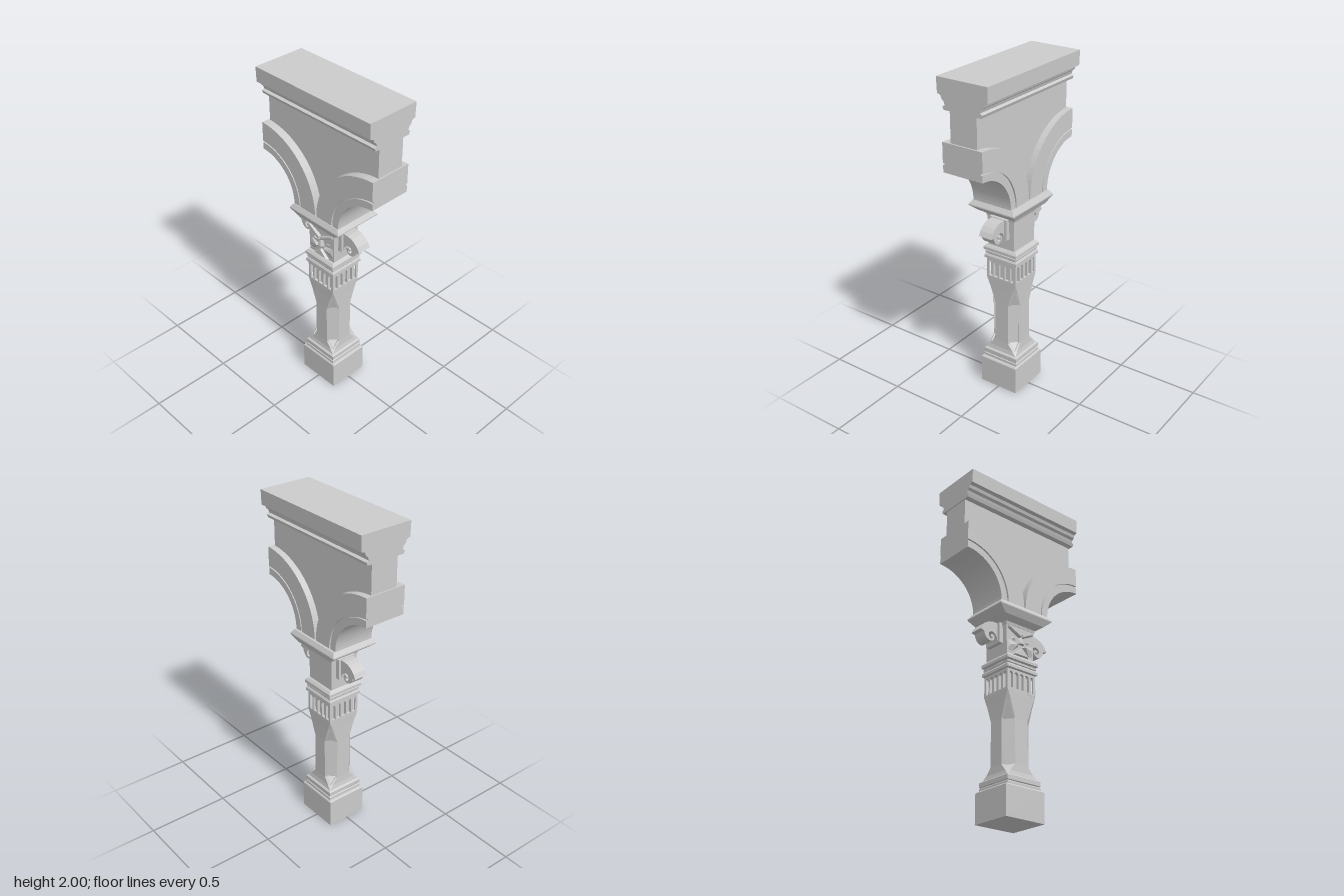
import * as THREE from 'three';
import { ConvexGeometry } from 'three/addons/geometries/ConvexGeometry.js';

const material = new THREE.MeshStandardMaterial({ color: 0xcccccc, flatShading: true, side: THREE.DoubleSide });

export function createModel() {
  const model = new THREE.Group();

  const add = (name, geometry, parent = model) => {
    const mesh = new THREE.Mesh(geometry, material);
    mesh.name = name;
    parent.add(mesh);
    return mesh;
  };

  // Skin over horizontal rings of [x, y, z] points, closed at both ends
  const loft = (rings) => {
    const pos = [];
    const tri = (...p) => p.forEach((v) => pos.push(...v));
    const n = rings[0].length;
    for (let j = 0; j < n; j++) {
      const k = (j + 1) % n;
      for (let i = 0; i < rings.length - 1; i++) {
        const lo = rings[i], hi = rings[i + 1];
        tri(lo[j], hi[j], lo[k]);
        tri(lo[k], hi[j], hi[k]);
      }
      const bottom = rings[0], top = rings[rings.length - 1];
      tri([0, bottom[0][1], 0], bottom[j], bottom[k]);
      tri([0, top[0][1], 0], top[k], top[j]);
    }
    const g = new THREE.BufferGeometry();
    g.setAttribute('position', new THREE.Float32BufferAttribute(pos, 3));
    g.computeVertexNormals();
    return g;
  };

  // Rectangular moulding from rows of [y, half width, half depth]
  const moulding = (name, rows) => add(name, loft(rows.map(([y, hx, hz = hx]) =>
    [[hx, y, -hz], [hx, y, hz], [-hx, y, hz], [-hx, y, -hz]])));

  const extrude = (shape, depth, curveSegments = 8) => {
    const g = new THREE.ExtrudeGeometry(shape, { depth, bevelEnabled: false, curveSegments });
    return g.translate(0, 0, -depth / 2);
  };

  // Base and plinth
  moulding('base', [[0, 0.135, 0.127], [0.172, 0.135, 0.127], [0.18, 0.128, 0.12]]);
  moulding('plinth', [[0.18, 0.118], [0.195, 0.118], [0.2, 0.113], [0.205, 0.117], [0.23, 0.117], [0.237, 0.108]]);

  // Shaft: square ends, chamfered middle, recessed pointed panel on each corner
  // rows: y, half width, chamfer start, panel half width, panel depth
  const shaftRows = [
    [0.235, 0.106, 0.106, 0, 0], [0.262, 0.1, 0.08, 0, 0], [0.262, 0.1, 0.08, 0, 0.006],
    [0.305, 0.098, 0.045, 0.027, 0.012], [0.565, 0.098, 0.045, 0.027, 0.012],
    [0.665, 0.1, 0.078, 0, 0.006], [0.665, 0.1, 0.078, 0, 0], [0.725, 0.102, 0.102, 0, 0],
  ];
  add('shaft', loft(shaftRows.map(([y, a, c, w, d]) => {
    const m = (a + c) / 2, s = w * Math.SQRT1_2, r = d * Math.SQRT1_2;
    let corner = [[a, c], [m + s, m - s], [m + s - r, m - s - r], [m - s - r, m + s - r], [m - s, m + s], [c, a]];
    const ring = [];
    for (let q = 0; q < 4; q++) {
      corner.forEach(([x, z]) => ring.push([x, y, z]));
      corner = corner.map(([x, z]) => [-z, x]);
    }
    return ring;
  })));

  // Arcaded band: a core with a pierced panel of round arches on each side
  moulding('arcadeCore', [[0.72, 0.086], [0.86, 0.086]]);
  const panel = new THREE.Shape([[-0.102, 0.722], [0.102, 0.722], [0.102, 0.855], [-0.102, 0.855]]
    .map((p) => new THREE.Vector2(...p)));
  for (let i = -2; i <= 2; i++) {
    const x = i * 0.039, r = 0.0145, arch = new THREE.Path();
    arch.moveTo(x - r, 0.737).lineTo(x + r, 0.737).lineTo(x + r, 0.82);
    arch.absarc(x, 0.82, r, 0, Math.PI, false);
    panel.holes.push(arch);
  }
  for (let i = 0; i < 4; i++) {
    add('arcadePanel', extrude(panel, 0.016, 4).translate(0, 0, 0.094)).rotation.y = i * Math.PI / 2;
  }

  // Necking rings
  moulding('lowerRing', [[0.848, 0.102], [0.854, 0.112], [0.87, 0.112], [0.88, 0.106]]);
  moulding('middleRing', [[0.88, 0.102], [0.886, 0.107], [0.897, 0.107], [0.902, 0.101]]);
  moulding('upperRing', [[0.9, 0.104], [0.907, 0.115], [0.924, 0.115], [0.933, 0.108], [0.941, 0.1]]);

  // Head block and flared abacus
  moulding('headBlock', [[0.935, 0.098, 0.09], [1.145, 0.103, 0.092]]);
  moulding('abacus', [[1.125, 0.106, 0.094], [1.14, 0.108, 0.098], [1.165, 0.145, 0.132],
    [1.205, 0.195, 0.153], [1.212, 0.195, 0.153], [1.237, 0.177, 0.138]]);

  // Carved face on the front
  const face = new THREE.Group();
  face.name = 'face';
  model.add(face);
  const carve = (name, points, side = 1) =>
    add(name, new ConvexGeometry(points.map(([x, y, z]) => new THREE.Vector3(x * side, y, z))), face);
  carve('nose', [[-0.012, 1.075, 0.088], [0.012, 1.075, 0.088], [-0.027, 1.018, 0.088], [0.027, 1.018, 0.088],
    [-0.012, 1.02, 0.112], [0.012, 1.02, 0.112], [0, 1.07, 0.101]]);
  carve('chin', [[-0.06, 0.945, 0.088], [0.06, 0.945, 0.088], [-0.045, 0.95, 0.106], [0.045, 0.95, 0.106],
    [0, 0.99, 0.104], [0, 0.996, 0.088]]);
  for (const side of [1, -1]) {
    carve('brow', [[0.004, 1.055, 0.088], [0.004, 1.085, 0.088], [0.006, 1.065, 0.11], [0.006, 1.08, 0.11],
      [0.096, 1.1, 0.088], [0.098, 1.128, 0.088], [0.088, 1.108, 0.104], [0.09, 1.122, 0.104]], side);
    carve('eye', [[0.022, 1.036, 0.088], [0.068, 1.062, 0.088], [0.075, 1.042, 0.088], [0.05, 1.028, 0.088],
      [0.05, 1.045, 0.098]], side);
    carve('cheek', [[0.028, 1.02, 0.088], [0.095, 1.035, 0.088], [0.096, 0.965, 0.088], [0.07, 0.955, 0.088],
      [0.012, 1.005, 0.088], [0.03, 1.008, 0.107], [0.078, 1.0, 0.1]], side);
  }

  // Curled scrolls on both sides of the head
  const scroll = new THREE.Shape();
  scroll.moveTo(0.09, 1.03).lineTo(0.09, 1.115).lineTo(0.125, 1.135);
  scroll.quadraticCurveTo(0.215, 1.145, 0.25, 1.065);
  scroll.lineTo(0.225, 1.06);
  scroll.quadraticCurveTo(0.215, 1.01, 0.175, 1.01);
  scroll.quadraticCurveTo(0.145, 1.02, 0.148, 1.045);
  scroll.quadraticCurveTo(0.16, 1.065, 0.177, 1.05);
  scroll.lineTo(0.175, 1.036).lineTo(0.164, 1.042).lineTo(0.163, 1.03).lineTo(0.178, 1.024);
  scroll.quadraticCurveTo(0.198, 1.04, 0.187, 1.063);
  scroll.quadraticCurveTo(0.155, 1.087, 0.132, 1.045);
  scroll.lineTo(0.13, 1.025);
  for (const side of [0, 1]) {
    const group = new THREE.Group();
    group.name = side ? 'rightScroll' : 'leftScroll';
    group.rotation.y = side * Math.PI;
    add('curl', extrude(scroll, 0.084, 5), group);
    add('backplate', new THREE.BoxGeometry(0.03, 0.125, 0.116).translate(0.112, 1.076, 0), group);
    model.add(group);
  }

  // Spandrel wall, cut by the two arches
  const wall = new THREE.Shape();
  wall.moveTo(-0.415, 1.85).lineTo(-0.415, 1.53);
  wall.absarc(-0.425, 1.235, 0.29, Math.PI / 2, 0, true);
  wall.lineTo(0.135, 1.235);
  wall.absarc(0.425, 1.235, 0.29, Math.PI, Math.PI / 2, true);
  wall.lineTo(0.415, 1.53).lineTo(0.415, 1.85);
  add('spandrelWall', extrude(wall, 0.172));

  // Quarter-circle arches: inner rim, thin groove, outer band
  const bands = [['archRim', 0.25, 0.292, 0.258], ['archGroove', 0.29, 0.304, 0.238], ['archBand', 0.302, 0.42, 0.26]];
  for (const side of [0, 1]) {
    for (const [name, r0, r1, depth] of bands) {
      const band = new THREE.Shape();
      band.absarc(0.425, 1.235, r1, Math.PI, Math.PI / 2, true);
      band.absarc(0.425, 1.235, r0, Math.PI / 2, Math.PI, false);
      const mesh = add(name, extrude(band, depth, 9));
      mesh.rotation.y = side * Math.PI;
      mesh.position.z = 0.005;
    }
  }

  // Cornice profile run along x
  const half = [[0.12, 1.83], [0.127, 1.848], [0.112, 1.856], [0.118, 1.875], [0.132, 1.886],
    [0.138, 1.905], [0.16, 1.912], [0.163, 2]];
  const outline = [...half, ...half.map(([z, y]) => [-z, y]).reverse()];
  const cornice = new THREE.Shape(outline.map((p) => new THREE.Vector2(...p)));
  add('cornice', extrude(cornice, 0.844)).rotation.y = Math.PI / 2;

  return model;
}
